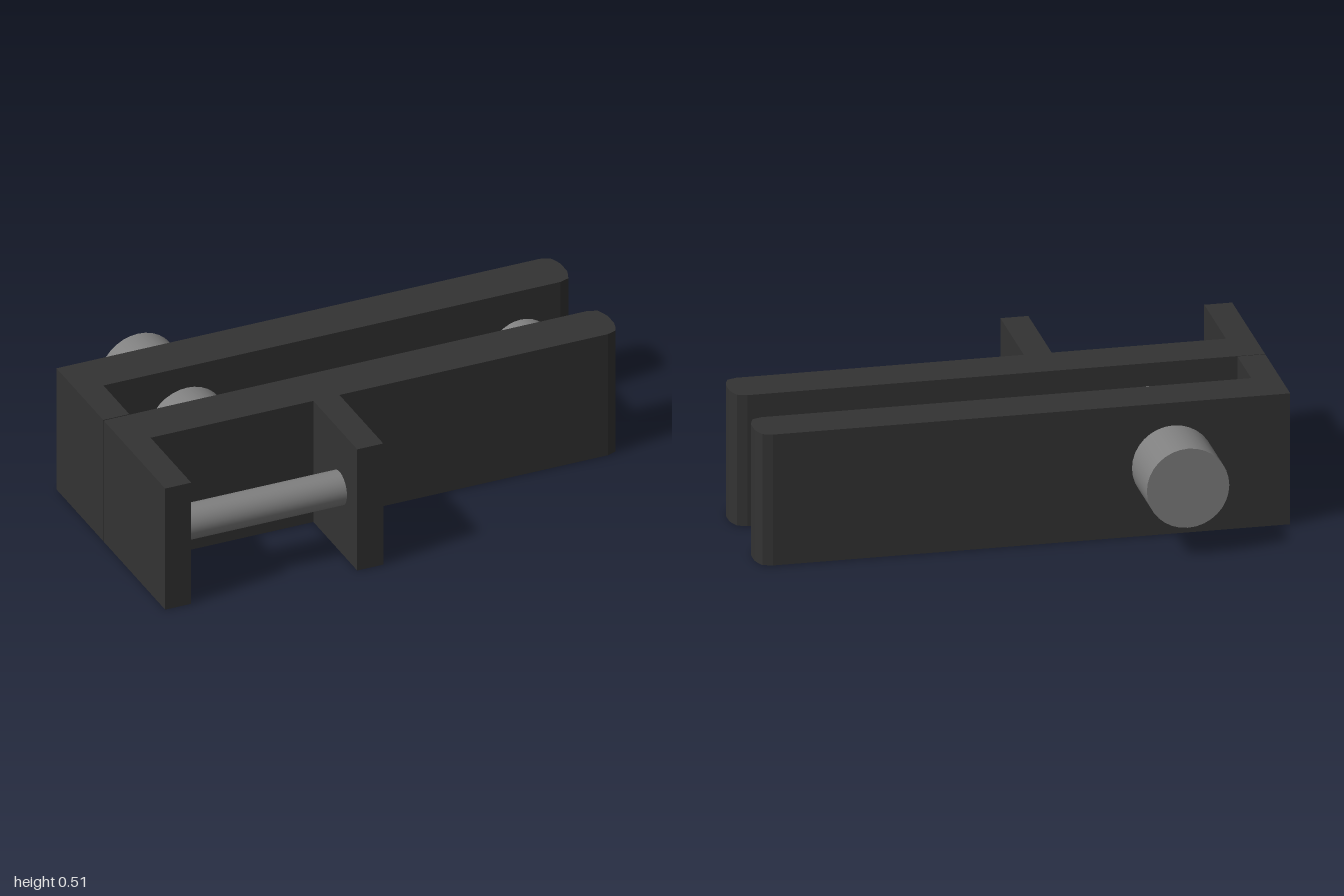
import * as THREE from 'three';

const HEIGHT = 0.513;
const MID = 0.269;
const THICK = 0.186;

export function createModel() {
  const model = new THREE.Group();
  model.name = 'clampBracket';
  const dark = new THREE.MeshStandardMaterial({ color: 0x333333, flatShading: true });
  const steel = new THREE.MeshStandardMaterial({ color: 0x808080 });

  const add = (name, geometry, material) => {
    const mesh = new THREE.Mesh(geometry, material);
    mesh.name = name;
    model.add(mesh);
    return mesh;
  };

  // Extrudes a plan outline of [x, z] points to full height
  const plate = (name, outline) => {
    const shape = new THREE.Shape(outline.map(([x, z]) => new THREE.Vector2(x, -z)));
    const geometry = new THREE.ExtrudeGeometry(shape, { depth: HEIGHT, bevelEnabled: false });
    geometry.rotateX(-Math.PI / 2);
    return add(name, geometry, dark);
  };

  // Softened right-hand end of a plate: [x, inset from face]
  const nose = [[0.945, 0], [0.982, 0.013], [0.993, 0.04], [1, 0.065]];

  // Bar with a rounded end, a foot at the left and an optional tab
  const bar = (name, back, footEnd, tabEnd) => {
    const front = back + THICK;
    const tab = tabEnd ? [[-0.24, front], [-0.24, tabEnd], [-0.135, tabEnd], [-0.135, front]] : [];
    plate(name, [
      [-1, back], [-1, footEnd], [-0.895, footEnd], [-0.895, front],
      ...tab,
      ...nose.map(([x, d]) => [x, front - d]),
      ...nose.map(([x, d]) => [x, back + d]).reverse(),
    ]);
  };
  bar('backBar', -0.374, 0.042);
  bar('frontBar', 0.046, 0.593, 0.622);

  // Pins running front to back
  const pin = (name, x, radius, z0, z1) => {
    const geometry = new THREE.CylinderGeometry(radius, radius, z1 - z0, 32);
    geometry.rotateX(Math.PI / 2);
    add(name, geometry, steel).position.set(x, MID, (z0 + z1) / 2);
  };
  pin('mainPin', -0.56, 0.155, -0.622, 0.06);
  pin('endPin', 0.784, 0.123, -0.2, 0.06);

  // Cross rod between the foot and the tab
  const rod = new THREE.CylinderGeometry(0.067, 0.067, 0.675, 32);
  rod.rotateZ(Math.PI / 2);
  add('crossRod', rod, steel).position.set(-0.5675, MID, 0.464);

  return model;
}
